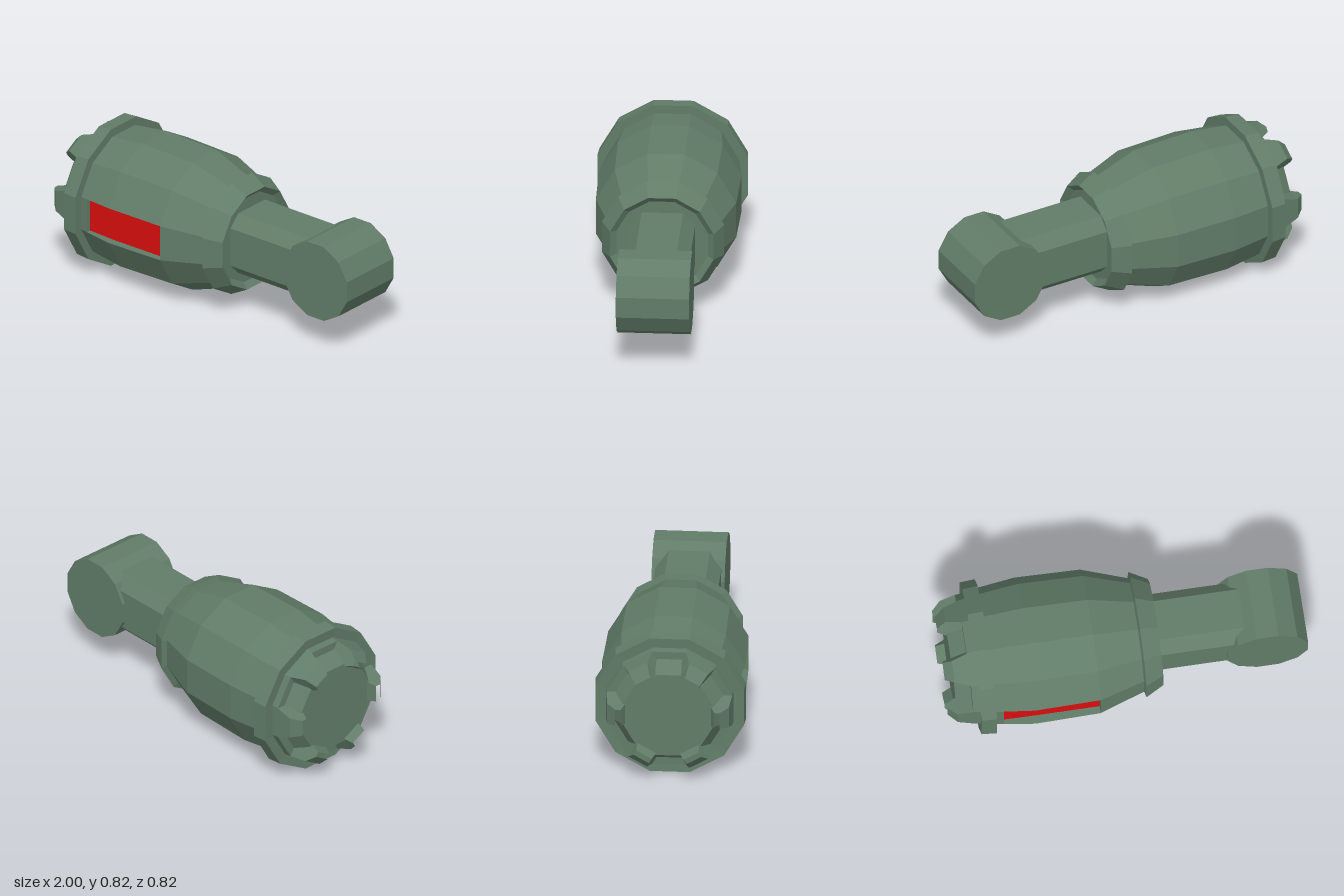
import * as THREE from 'three';

const CY = 0.412; // height of the main axis
const SIDES = 12;

const green = new THREE.MeshStandardMaterial({ color: 0x617c68 });
green.name = 'dull green';
const red = new THREE.MeshStandardMaterial({ color: 0xd80e0e });
red.name = 'signal red';

// Flat-shaded mesh from quads, corners counter-clockwise from outside
function quadMesh(name, quads, material) {
  const p = [];
  for (const [a, b, c, d] of quads) p.push(...a, ...b, ...c, ...a, ...c, ...d);
  const g = new THREE.BufferGeometry();
  g.setAttribute('position', new THREE.Float32BufferAttribute(p, 3));
  g.computeVertexNormals();
  const mesh = new THREE.Mesh(g, material);
  mesh.name = name;
  return mesh;
}

// Corner k of a 12-sided ring; the apothem is measured to the flats, side 0 faces +z
function corner([x, apothem], k) {
  const t = ((k - 0.5) * 2 * Math.PI) / SIDES;
  const r = apothem / Math.cos(Math.PI / SIDES);
  return [x, r * Math.sin(t), r * Math.cos(t)];
}

// Faceted turned part along x; skip(i, k) leaves out a face
function turned(name, profile, skip = () => false) {
  const quads = [];
  for (let i = 0; i < profile.length - 1; i++) {
    const p = profile[i], q = profile[i + 1];
    for (let k = 0; k < SIDES; k++) {
      if (skip(i, k)) continue;
      const a = corner(p, k), b = corner(q, k), c = corner(q, k + 1), d = corner(p, k + 1);
      // collapsed caps get their triangle from the non-degenerate half
      quads.push(p[1] === 0 ? [b, c, d, d] : [a, b, c, d]);
    }
  }
  return quadMesh(name, quads, green);
}

// Tapered tooth on the front (+z) side, lofted through box sections
function tooth() {
  const sections = [
    [-1.0, 0.255, 0.285, 0.048],
    [-0.95, 0.235, 0.333, 0.06],
    [-0.86, 0.27, 0.344, 0.092],
  ].map(([x, inner, outer, w]) => [[x, -w, outer], [x, w, outer], [x, w, inner], [x, -w, inner]]);
  const quads = [[...sections[0]].reverse()];
  for (let i = 0; i < 2; i++) {
    for (let k = 0; k < 4; k++) {
      const n = (k + 1) % 4, s = sections[i], e = sections[i + 1];
      quads.push([s[k], e[k], e[n], s[n]]);
    }
  }
  return quadMesh('tooth', quads, green);
}

export function createModel() {
  const model = new THREE.Group();
  const body = new THREE.Group();
  body.name = 'body';
  body.position.y = CY;
  model.add(body);

  // Crown end and collar
  body.add(turned('crownCore', [[-0.95, 0], [-0.95, 0.245], [-0.865, 0.3], [-0.865, 0.343], [-0.825, 0.348]]));
  body.add(turned('collar', [[-0.825, 0.348], [-0.83, 0.405], [-0.745, 0.411], [-0.745, 0.363]]));
  const crown = new THREE.Group();
  crown.name = 'crownTeeth';
  for (let i = 0; i < 6; i++) {
    const t = tooth();
    t.rotation.x = (i * Math.PI) / 3;
    crown.add(t);
  }
  body.add(crown);

  // Barrel, open on the front side where the pocket sits
  const barrel = [[-0.745, 0.363], [-0.7, 0.369], [-0.53, 0.39], [-0.17, 0.383], [0.08, 0.303]];
  body.add(turned('barrel', barrel, (i, k) => k === 0 && (i === 1 || i === 2)));

  // Pocket walls run from the barrel edge back to a flat red panel
  const rim = barrel.slice(1, 4);
  const outline = [...rim.map((p) => corner(p, 0)), ...rim.map((p) => corner(p, 1)).reverse()];
  const sunk = outline.map(([x, y]) => [x, y, 0.342]);
  const walls = outline.map((p, i) => {
    const n = (i + 1) % outline.length;
    return [p, outline[n], sunk[n], sunk[i]];
  });
  body.add(quadMesh('pocketWalls', walls, green));
  body.add(quadMesh('redPanel', [
    [sunk[0], sunk[1], sunk[4], sunk[5]],
    [sunk[1], sunk[2], sunk[3], sunk[4]],
  ], red));

  // End ring with a shallow recess around the shaft
  body.add(turned('endRing', [[0.08, 0.303], [0.09, 0.334], [0.19, 0.283], [0.16, 0.25], [0.16, 0]]));

  // Shaft: square bar with chamfered edges
  const h = 0.18, c = 0.113;
  const section = new THREE.Shape(
    [[h, -c], [h, c], [c, h], [-c, h], [-h, c], [-h, -c], [-c, -h], [c, -h]].map(([x, y]) => new THREE.Vector2(x, y)),
  );
  const shaftGeo = new THREE.ExtrudeGeometry(section, { depth: 0.55, bevelEnabled: false });
  shaftGeo.rotateY(Math.PI / 2);
  const shaft = new THREE.Mesh(shaftGeo, green);
  shaft.name = 'shaft';
  shaft.position.set(0.15, 0.003, 0);
  body.add(shaft);

  // Cross drum at the end of the shaft, lying along z
  const R = 0.222 / Math.cos(Math.PI / 12);
  let drumGeo = new THREE.CylinderGeometry(R, R, 0.4, 12);
  drumGeo.rotateY(Math.PI / 12);
  drumGeo.rotateX(Math.PI / 2);
  drumGeo = drumGeo.toNonIndexed();
  drumGeo.computeVertexNormals();
  const drum = new THREE.Mesh(drumGeo, green);
  drum.name = 'crossDrum';
  drum.position.set(0.778, -0.007, 0);
  body.add(drum);

  return model;
}
